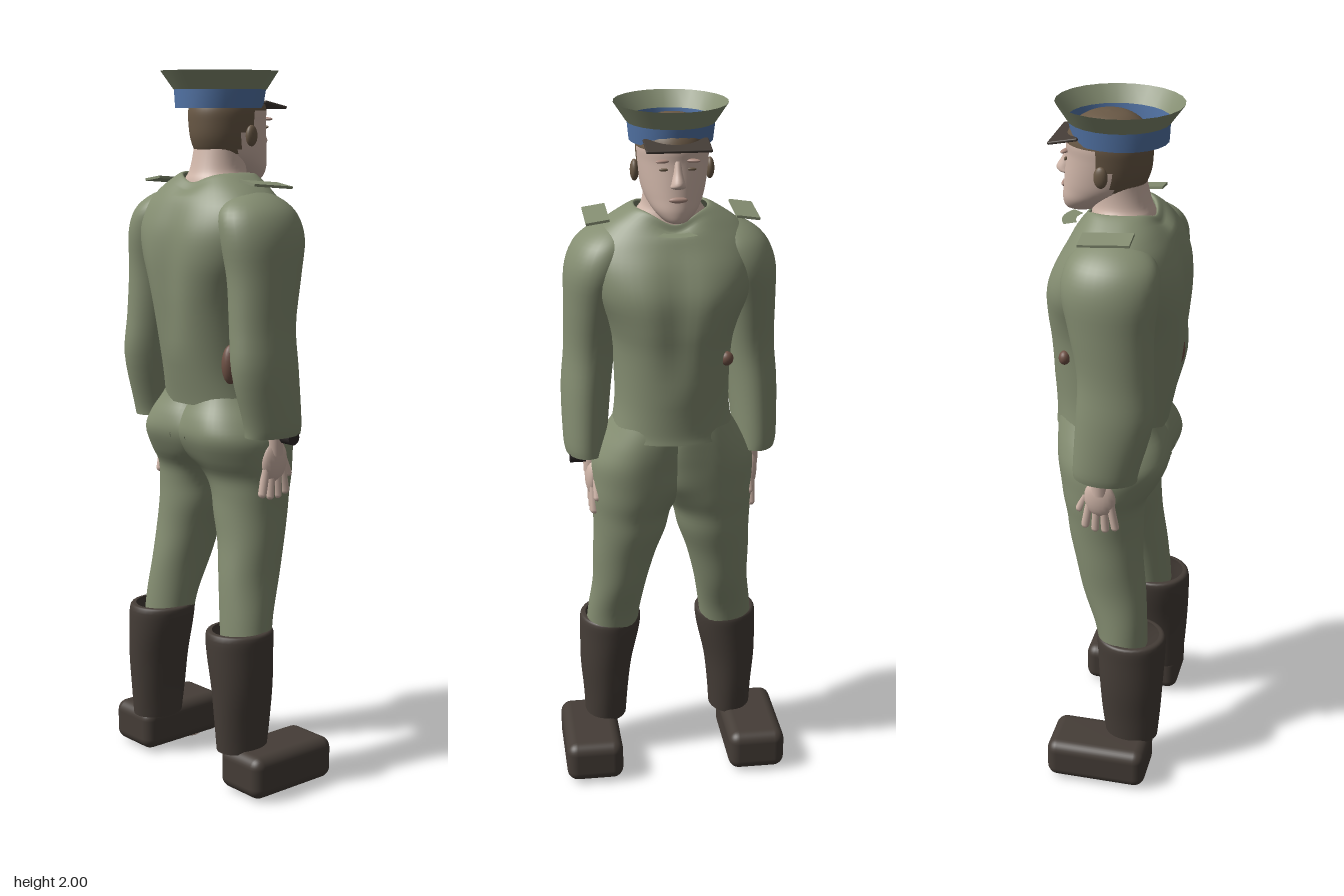
import * as THREE from 'three';
import { RoundedBoxGeometry } from 'three/addons/geometries/RoundedBoxGeometry.js';

const paint = (name, color) => {
  const m = new THREE.MeshStandardMaterial({ color, side: THREE.DoubleSide });
  m.name = name;
  return m;
};

// Smooth interpolation of cross-section rows
function sample(rows, t) {
  const f = t * (rows.length - 1), i = Math.min(Math.floor(f), rows.length - 2), u = f - i;
  const at = k => rows[Math.max(0, Math.min(rows.length - 1, k))];
  return rows[0].map((_, c) => {
    const [a, b, d, e] = [at(i - 1)[c], at(i)[c], at(i + 1)[c], at(i + 2)[c]];
    return b + 0.5 * u * (d - a + u * (2 * a - 5 * b + 4 * d - e + u * (3 * (b - d) + e - a)));
  });
}

// Loft through rows [y, centre x, half width, front z, back z], bottom to top.
// pow < 1 squares the section; shape(v) moves vertices; pick(y, z) chooses a material index.
function loft(rows, { n = 36, steps = 4, side = 1, pow = 1, shape, pick } = {}) {
  const pos = [], groups = [[], []], rings = (rows.length - 1) * steps, v = new THREE.Vector3();
  for (let i = 0; i <= rings; i++) {
    const [y, cx, rx, zf, zb] = sample(rows, i / rings);
    for (let j = 0; j < n; j++) {
      const a = (j / n) * Math.PI * 2, s = Math.sin(a);
      v.set(cx * side + rx * Math.cos(a), y, (zf + zb) / 2 + ((zb - zf) / 2) * Math.sign(s) * Math.abs(s) ** pow);
      if (shape) shape(v);
      pos.push(v.x, v.y, v.z);
    }
  }
  for (let i = 0; i < rings; i++) for (let j = 0; j < n; j++) {
    const a = i * n + j, b = i * n + (j + 1) % n, c = a + n, d = b + n;
    const mid = k => (pos[a * 3 + k] + pos[d * 3 + k]) / 2;
    groups[pick ? pick(mid(1), mid(2)) : 0].push(a, c, b, b, c, d);
  }
  const g = new THREE.BufferGeometry();
  g.setAttribute('position', new THREE.Float32BufferAttribute(pos, 3));
  g.setIndex([...groups[0], ...groups[1]]);
  if (pick) {
    g.addGroup(0, groups[0].length, 0);
    g.addGroup(groups[0].length, groups[1].length, 1);
  }
  g.computeVertexNormals();
  return g;
}

export function createModel() {
  const model = new THREE.Group();
  const green = paint('uniform green', 0x858e72), dark = paint('boot brown', 0x453d37);
  const skin = paint('skin', 0xd1b7aa), hair = paint('hair brown', 0x6a5946);
  const blue = paint('band blue', 0x5375a8), rust = paint('pouch brown', 0x6f5145);
  const black = paint('strap black', 0x2d2828), lip = paint('lip', 0xac8c80);

  const add = (name, geo, mat, x = 0, y = 0, z = 0, parent = model) => {
    const m = new THREE.Mesh(geo, mat);
    m.name = name;
    m.position.set(x, y, z);
    parent.add(m);
    return m;
  };
  const ball = (name, mat, x, y, z, rx, ry, rz, parent) => {
    const m = add(name, new THREE.SphereGeometry(1, 20, 14), mat, x, y, z, parent);
    m.scale.set(rx, ry, rz);
    return m;
  };
  const dip = (x, w) => Math.exp(-((x / w) ** 2));

  // Tunic with broad shoulders, a spine and chest groove and a dipped neckline
  add('tunic', loft([
    [1.09, 0, 0.174, -0.172, 0.142], [1.12, 0, 0.166, -0.17, 0.148], [1.2, 0, 0.158, -0.175, 0.165],
    [1.34, 0, 0.165, -0.188, 0.192], [1.42, 0, 0.185, -0.196, 0.202], [1.5, 0, 0.222, -0.192, 0.204],
    [1.57, 0, 0.24, -0.165, 0.195], [1.63, 0, 0.228, -0.13, 0.172], [1.675, 0, 0.186, -0.105, 0.145],
    [1.71, 0, 0.136, -0.09, 0.12], [1.728, 0, 0.105, -0.085, 0.105], [1.725, 0, 0.098, -0.08, 0.098],
  ], { n: 56, pow: 0.82, shape: v => {
    const chest = Math.max(0, 1 - ((v.y - 1.46) / 0.22) ** 2);
    v.z *= 1 - 0.1 * chest * dip(v.x, 0.055);
    if (v.y > 1.66) v.y -= (v.z < 0 ? 0.04 : 0.028) * dip(v.x, 0.06) * Math.min(1, (v.y - 1.66) / 0.05);
  } }), green);

  // Front collar edge
  add('collarEdge', new THREE.RingGeometry(0.06, 0.098, 16, 1, Math.PI / 2 - 0.6, 1.2).rotateX(-Math.PI / 2), green, 0, 1.672, -0.055);

  // Above the crotch each trouser leg squares off inward to meet its twin
  const hipShape = side => v => {
    const c = THREE.MathUtils.clamp((0.1 - v.x * side) / 0.135, 0, 1);
    const s = Math.max(0.15, Math.sqrt(1 - c * c));
    v.z *= THREE.MathUtils.lerp(1, s ** -0.75, THREE.MathUtils.smoothstep(v.y, 0.83, 0.95));
  };

  for (const side of [1, -1]) {
    const word = side > 0 ? 'left' : 'right';
    const limb = (name, rows, mat, extra) => add(word + name, loft(rows, { side, n: 32, ...extra }), mat);

    limb('Sleeve', [
      [1.02, 0.241, 0.058, -0.07, 0.108], [1.06, 0.243, 0.062, -0.07, 0.115], [1.2, 0.237, 0.07, -0.062, 0.15],
      [1.32, 0.225, 0.072, -0.06, 0.147], [1.45, 0.215, 0.08, -0.085, 0.145], [1.55, 0.2, 0.092, -0.108, 0.155],
      [1.615, 0.18, 0.09, -0.1, 0.148], [1.655, 0.16, 0.07, -0.07, 0.115], [1.68, 0.145, 0.03, -0.02, 0.06],
      [1.682, 0.145, 0.002, 0.018, 0.022],
    ], green);
    limb('TrouserLeg', [
      [0.43, 0.173, 0.076, -0.015, 0.125], [0.5, 0.165, 0.077, -0.03, 0.122], [0.6, 0.15, 0.079, -0.068, 0.115],
      [0.7, 0.137, 0.091, -0.092, 0.103], [0.78, 0.122, 0.104, -0.112, 0.1], [0.84, 0.116, 0.112, -0.12, 0.1],
      [0.89, 0.106, 0.125, -0.132, 0.108], [0.94, 0.1, 0.134, -0.14, 0.138], [1.0, 0.098, 0.135, -0.148, 0.163],
      [1.05, 0.088, 0.122, -0.152, 0.155], [1.1, 0.075, 0.103, -0.152, 0.13], [1.15, 0.065, 0.085, -0.145, 0.11],
    ], green, { n: 48, shape: hipShape(side) });
    limb('BootShaft', [
      [0.118, 0.192, 0.062, 0.008, 0.163], [0.2, 0.191, 0.067, -0.003, 0.17], [0.3, 0.189, 0.077, -0.011, 0.176],
      [0.4, 0.178, 0.088, -0.018, 0.18], [0.455, 0.174, 0.09, -0.02, 0.178], [0.462, 0.174, 0.075, -0.005, 0.16],
    ], dark);
    add(word + 'Shoe', new RoundedBoxGeometry(0.168, 0.122, 0.296, 4, 0.032), dark, 0.244 * side, 0.067, 0);
    ball(word + 'Sole', skin, 0.215 * side, 0.009, -0.05, 0.04, 0.009, 0.035);

    // Shoulder board
    const board = add(word + 'ShoulderBoard', new THREE.BoxGeometry(0.064, 0.007, 0.138), green, 0.203 * side, 1.699, 0.014);
    board.rotation.set(-0.08, 0, -0.15 * side);

    // Hand with spread fingers
    const hand = new THREE.Group();
    hand.name = word + 'Hand';
    hand.position.x = 0.226 * side;
    model.add(hand);
    add('wrist', new THREE.CylinderGeometry(0.028, 0.025, 0.12, 16), skin, 0, 1.02, 0, hand);
    ball('palm', skin, 0, 0.945, 0, 0.022, 0.06, 0.045, hand);
    for (let i = 0; i < 4; i++) {
      const k = i - 1.5;
      const finger = add('finger', new THREE.CapsuleGeometry(0.012, 0.07, 4, 8), skin, 0, 0.88 + 0.004 * k * k, k * 0.024, hand);
      finger.rotation.x = -k * 0.12;
    }
    const thumb = add('thumb', new THREE.CapsuleGeometry(0.011, 0.055, 4, 8), skin, -0.008 * side, 0.925, -0.05, hand);
    thumb.rotation.x = 0.4;

    // Ear and eye
    ball(word + 'Ear', hair, 0.101 * side, 1.826, -0.024, 0.012, 0.029, 0.019);
    ball(word + 'Eye', hair, 0.037 * side, 1.848, -0.133, 0.012, 0.004, 0.004);
    const brow = ball(word + 'Brow', lip, 0.038 * side, 1.87, -0.132, 0.022, 0.005, 0.009);
    brow.rotation.y = 0.35 * side;
  }

  // Wristwatch and pouch marks at the waist
  add('watchStrap', new THREE.CylinderGeometry(0.033, 0.033, 0.025, 20), black, 0.226, 1.022, 0);
  add('watchFace', new THREE.CylinderGeometry(0.02, 0.02, 0.045, 16), black, 0.268, 1.014, -0.015).rotation.z = Math.PI / 2;
  ball('backPouch', rust, 0.188, 1.22, 0.126, 0.022, 0.054, 0.026);
  ball('sidePouch', rust, -0.158, 1.21, 0.06, 0.011, 0.035, 0.02);
  ball('frontButton', rust, -0.138, 1.32, -0.118, 0.018, 0.02, 0.016);

  // Neck and head, hair taking the back and crown
  add('neck', loft([
    [1.66, 0, 0.115, -0.075, 0.11], [1.705, 0, 0.096, -0.07, 0.1], [1.73, 0, 0.08, -0.068, 0.09],
    [1.77, 0, 0.074, -0.07, 0.08], [1.82, 0, 0.074, -0.07, 0.07],
  ]), skin);
  add('head', loft([
    [1.702, 0, 0.005, -0.12, -0.11], [1.708, 0, 0.032, -0.143, -0.06], [1.735, 0, 0.06, -0.15, -0.01],
    [1.77, 0, 0.08, -0.147, 0.06], [1.81, 0, 0.09, -0.143, 0.085], [1.86, 0, 0.096, -0.138, 0.092],
    [1.9, 0, 0.097, -0.138, 0.09], [1.94, 0, 0.084, -0.118, 0.07], [1.967, 0, 0.05, -0.075, 0.03],
    [1.975, 0, 0.0005, -0.0225, -0.0215],
  ], { n: 48, steps: 6, pick: (y, z) =>
    (y > 1.895 || (y > 1.775 && z > 0) || (y > 1.835 && z > -0.035) ? 1 : 0) }), [skin, hair]);
  add('nose', loft([
    [1.796, 0, 0.004, -0.14, -0.13], [1.802, 0, 0.02, -0.16, -0.12], [1.814, 0, 0.018, -0.168, -0.12],
    [1.84, 0, 0.012, -0.153, -0.12], [1.87, 0, 0.009, -0.14, -0.12],
  ], { n: 16 }), skin);
  ball('lips', lip, 0, 1.77, -0.145, 0.025, 0.008, 0.008);

  // Open peaked cap
  add('capBand', loft([[1.9, 0, 0.112, -0.122, 0.134], [1.957, 0, 0.118, -0.133, 0.137]], { n: 24, steps: 1 }), blue);
  add('capCrown', loft([[1.95, 0, 0.119, -0.134, 0.138], [2, 0, 0.153, -0.166, 0.175]], { n: 24, steps: 1 }), green);
  add('capVisor', new RoundedBoxGeometry(0.172, 0.008, 0.082, 2, 0.003), dark, 0, 1.909, -0.129).rotation.x = -0.2;

  return model;
}
